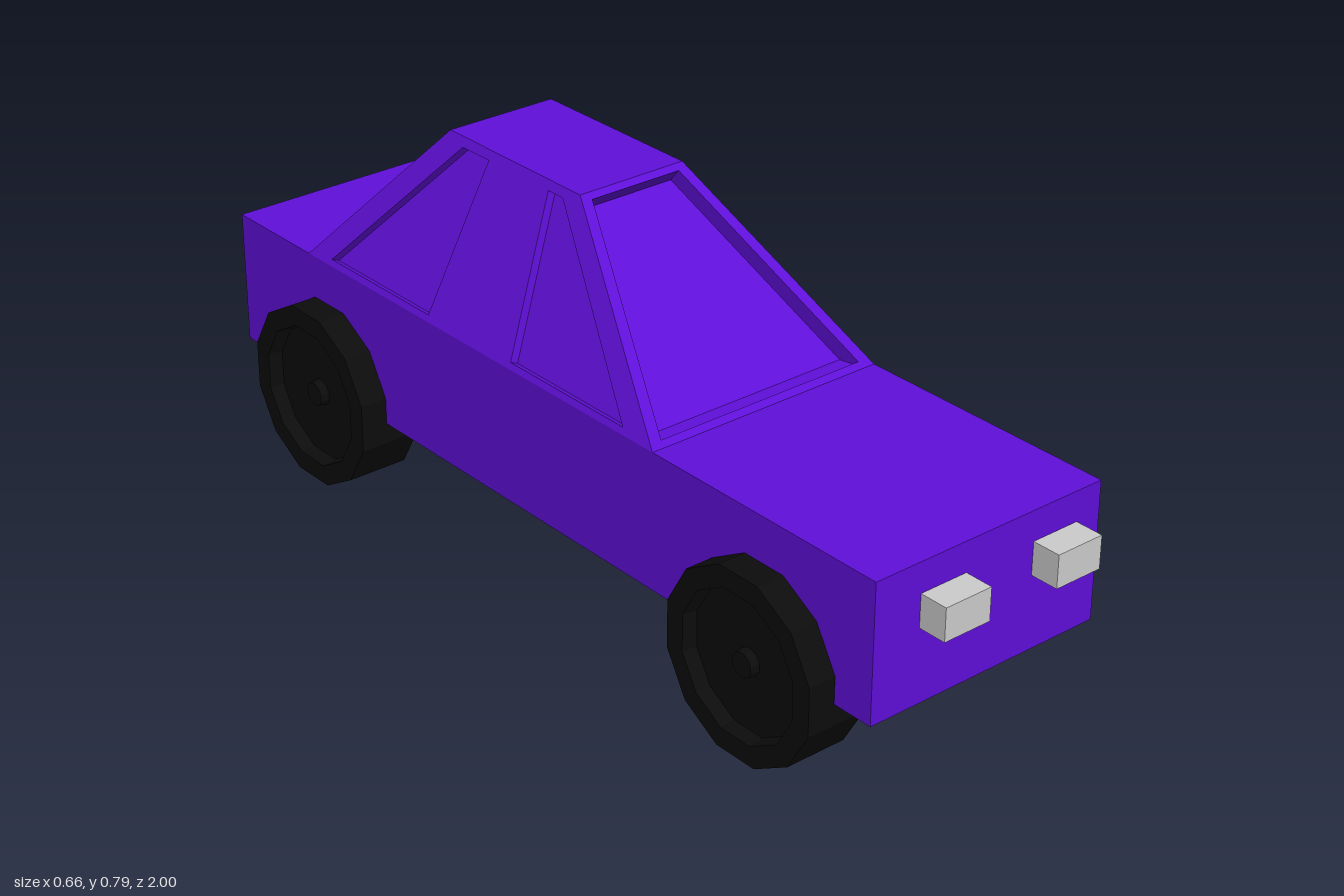
import * as THREE from 'three';

const paint = new THREE.MeshStandardMaterial({ color: 0x600fd8, flatShading: true });
const rubber = new THREE.MeshStandardMaterial({ color: 0x0c0c0c, flatShading: true });
const lamp = new THREE.MeshStandardMaterial({ color: 0xcccccc, flatShading: true });

// Cabin limits: a frustum from the body top up to the roof
const Y0 = 0.465, Y1 = 0.79, X0 = 0.27, X1 = 0.123;
const FRONT = [0.365, -0.02], REAR = [-0.715, -0.42];
const lerp = (a, b, y) => a + (b - a) * (y - Y0) / (Y1 - Y0);

function add(group, name, geometry, material, x = 0, y = 0, z = 0) {
  const mesh = new THREE.Mesh(geometry, material);
  mesh.name = name;
  mesh.position.set(x, y, z);
  group.add(mesh);
  return mesh;
}

// Flat panel with recessed windows; corners run counter-clockwise seen from outside
function addPanel(group, name, corners, windows, depth) {
  const o = corners[0];
  const u = corners[1].clone().sub(o).normalize();
  const n = u.clone().cross(corners[3].clone().sub(o)).normalize();
  const v = n.clone().cross(u);
  const flat = (p) => {
    const d = p.clone().sub(o);
    return new THREE.Vector2(d.dot(u), d.dot(v));
  };
  const matrix = new THREE.Matrix4().makeBasis(u, v, n).setPosition(o);
  const shape = new THREE.Shape(corners.map(flat));
  windows.forEach((w) => shape.holes.push(new THREE.Path(w.map(flat))));
  const frame = new THREE.ExtrudeGeometry(shape, { depth, bevelEnabled: false });
  add(group, name + 'Frame', frame.translate(0, 0, -depth).applyMatrix4(matrix), paint);
  windows.forEach((w) => {
    const pane = new THREE.ShapeGeometry(new THREE.Shape(w.map(flat)));
    add(group, name + 'Window', pane.translate(0, 0, -depth).applyMatrix4(matrix), paint);
  });
}

function createCabin() {
  const cabin = new THREE.Group();
  cabin.name = 'cabin';

  // Windscreen and rear screen
  [['windscreen', FRONT, 1], ['rearScreen', REAR, -1]].forEach(([name, [z0, z1], s]) => {
    const at = (x, y) => new THREE.Vector3(x * s, y, lerp(z0, z1, y));
    addPanel(cabin, name,
      [at(-X0, Y0), at(X0, Y0), at(X1, Y1), at(-X1, Y1)],
      [[at(-0.24, 0.475), at(0.24, 0.475), at(0.104, 0.78), at(-0.104, 0.78)]], 0.035);
  });

  // Sides, each with two windows given as (z, y)
  const sideWindows = [
    [[0.275, 0.477], [-0.055, 0.477], [-0.105, 0.772], [-0.062, 0.772]],
    [[-0.315, 0.477], [-0.64, 0.477], [-0.37, 0.772], [-0.288, 0.772]],
  ];
  for (const s of [1, -1]) {
    const at = ([z, y]) => new THREE.Vector3(s * lerp(X0, X1, y), y, z);
    const corners = [[FRONT[0], Y0], [REAR[0], Y0], [REAR[1], Y1], [FRONT[1], Y1]].map(at);
    if (s < 0) corners.reverse();
    addPanel(cabin, s > 0 ? 'leftSide' : 'rightSide', corners, sideWindows.map((w) => w.map(at)), 0.018);
  }

  add(cabin, 'roof', new THREE.BoxGeometry(2 * X1, 0.008, FRONT[1] - REAR[1]), paint,
    0, Y1 - 0.004, (FRONT[1] + REAR[1]) / 2);
  return cabin;
}

// Twelve-sided wheel with a dished outer face and a small hub
function wheelGeometry() {
  const R = 0.193, W = 0.132;
  const profile = [[0, 0], [R, 0], [R, W], [0.15, W], [0.145, W - 0.03], [0.028, W - 0.03],
    [0.025, W - 0.012], [0, W - 0.012]];
  return new THREE.LatheGeometry(profile.map(([x, y]) => new THREE.Vector2(x, y)), 12, Math.PI / 12);
}

export function createModel() {
  const car = new THREE.Group();
  car.name = 'car';

  add(car, 'body', new THREE.BoxGeometry(2 * X0, Y0 - 0.18, 1.9), paint, 0, (Y0 + 0.18) / 2, -0.01);
  car.add(createCabin());

  // Wheels
  const wheel = wheelGeometry();
  for (const [name, s, z] of [['frontLeftWheel', 1, 0.664], ['frontRightWheel', -1, 0.664],
    ['rearLeftWheel', 1, -0.672], ['rearRightWheel', -1, -0.65]]) {
    add(car, name, wheel, rubber, s * 0.197, 0.1865, z).rotation.z = -s * Math.PI / 2;
  }

  // Headlights and tail lights
  const light = new THREE.BoxGeometry(0.107, 0.068, 0.08);
  for (const x of [-0.11, 0.16]) {
    add(car, 'headlight', light, lamp, x, 0.368, 0.96);
    add(car, 'tailLight', light, lamp, x, 0.368, -0.96);
  }
  return car;
}
